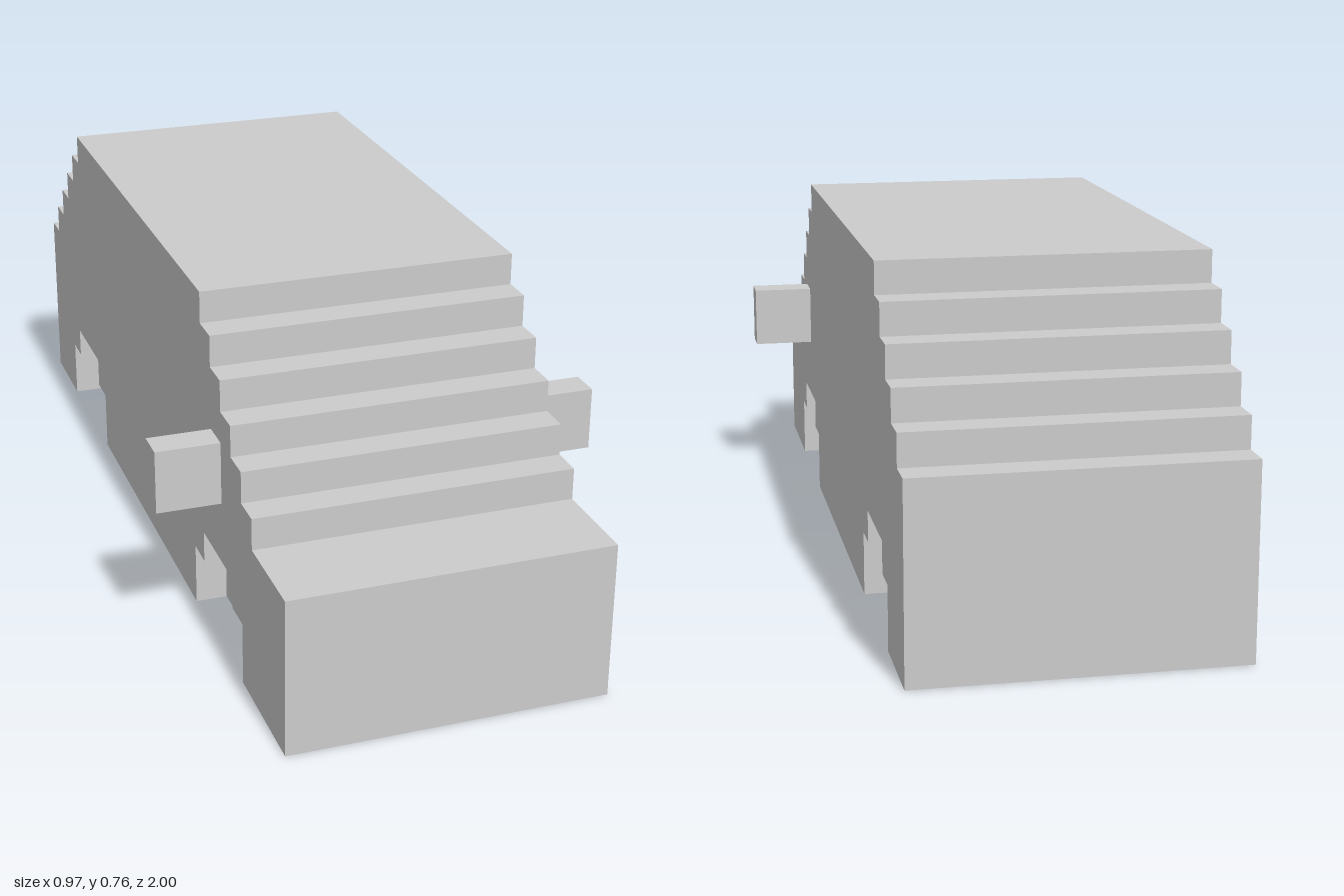
import * as THREE from 'three';

const U = 2 / 29; // one block; the body is 29 blocks long
const material = new THREE.MeshStandardMaterial({ color: 0xcccccc, flatShading: true });

// Stepped roofline, [blocks from the nose, height], running from tail to nose
function roofline() {
  const pts = [];
  for (let i = 0; i < 6; i++) pts.push([29 - i, 6 + i], [28 - i, 6 + i]);
  pts.splice(-1); // the last step runs on as the flat roof
  for (let i = 0; i < 6; i++) pts.push([8 - i, 11 - i], [8 - i, 10 - i]);
  pts.push([0, 5]);
  return pts;
}

// Stepped wheel arch outline starting at block s
const arch = (s) => [[s, 0], [s, 2], [s + 1, 2], [s + 1, 3], [s + 4, 3], [s + 4, 2], [s + 5, 2], [s + 5, 0]];

// Side profile extruded across the width from block x0 to x0 + width
function slab(name, bottom, x0, width) {
  const pts = [...bottom, ...roofline()];
  const shape = new THREE.Shape(pts.map(([s, h]) => new THREE.Vector2((s - 14.5) * U, h * U)));
  const geo = new THREE.ExtrudeGeometry(shape, { depth: width * U, bevelEnabled: false });
  geo.rotateY(Math.PI / 2);
  geo.translate(x0 * U, 0, 0);
  const mesh = new THREE.Mesh(geo, material);
  mesh.name = name;
  return mesh;
}

export function createModel() {
  const model = new THREE.Group();
  model.name = 'blockCar';

  // Solid core between the wheel arches
  model.add(slab('bodyCore', [[0, 0], [29, 0]], -4, 8));

  // One-block-thick sides with the arches cut out
  const sideBottom = [[0, 0], ...arch(4), ...arch(21), [29, 0]];
  model.add(slab('leftSide', sideBottom, 4, 1));
  model.add(slab('rightSide', sideBottom, -5, 1));

  // Wing mirrors
  for (const side of [1, -1]) {
    const mirror = new THREE.Mesh(new THREE.BoxGeometry(2 * U, 2 * U, U), material);
    mirror.name = side > 0 ? 'leftMirror' : 'rightMirror';
    mirror.position.set(side * 6 * U, 6 * U, 8 * U);
    model.add(mirror);
  }
  return model;
}
